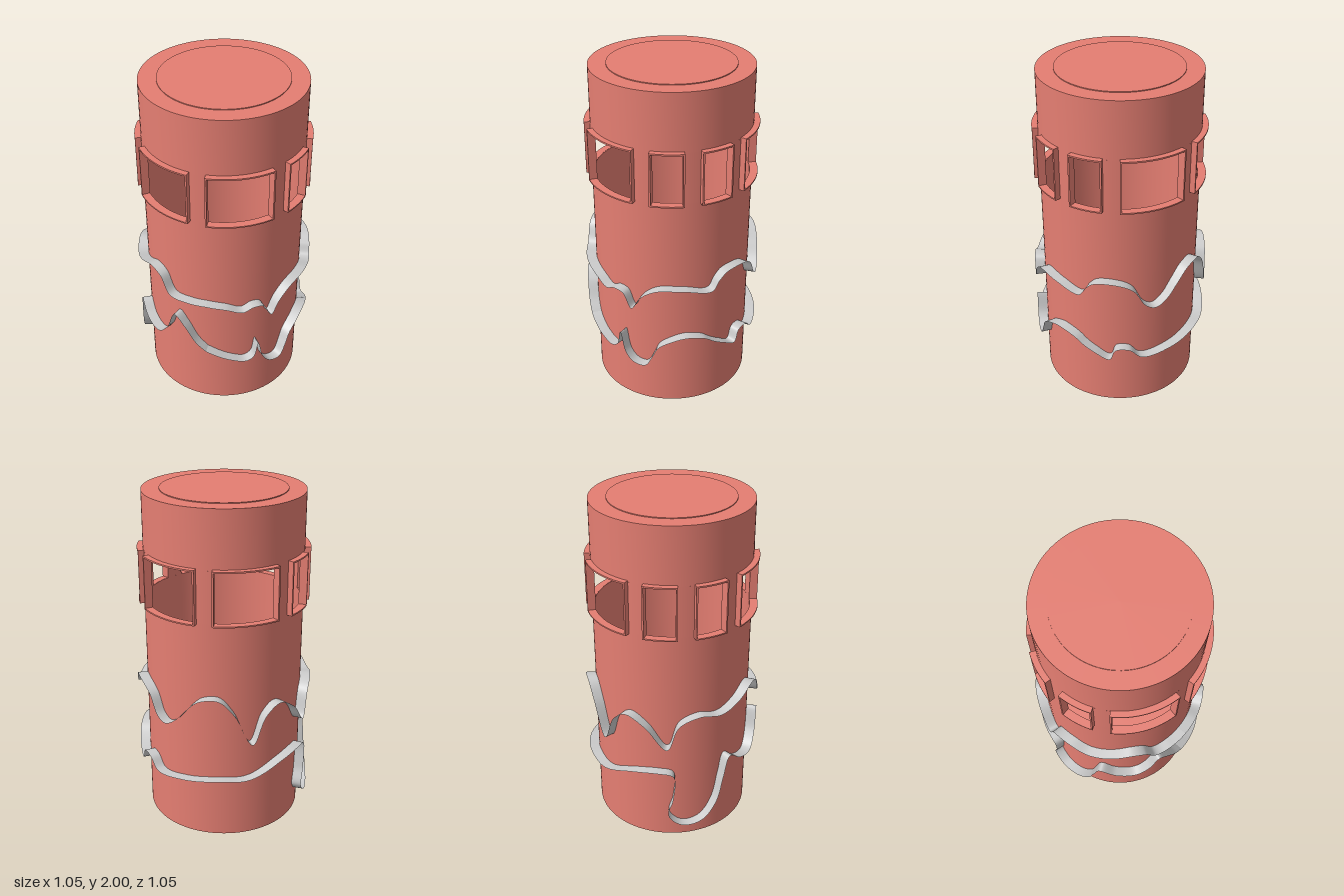
import * as THREE from 'three';
import { toCreasedNormals } from 'three/addons/utils/BufferGeometryUtils.js';

const R = 0.463, INNER = 0.45;            // outer and inner wall radius
const WIN_LOW = 1.36, WIN_HIGH = 1.66;    // window band
const red = new THREE.MeshStandardMaterial({ color: 0xe57e72 });
const grey = new THREE.MeshStandardMaterial({ color: 0xcccccc, side: THREE.DoubleSide });
const rad = THREE.MathUtils.degToRad;

function add(parent, name, geometry, material = red) {
  const mesh = new THREE.Mesh(geometry, material);
  mesh.name = name;
  parent.add(mesh);
  return mesh;
}

function lathe(points) {
  const profile = points.map(([r, y]) => new THREE.Vector2(r, y));
  return toCreasedNormals(new THREE.LatheGeometry(profile, 96), 0.6);
}

// Solid sector of a ring between two radii, two angles (degrees) and two heights
function ringBlock(r0, r1, a0, a1, y0, y1) {
  const shape = new THREE.Shape();
  shape.absarc(0, 0, r1, rad(a0), rad(a1), false);
  shape.absarc(0, 0, r0, rad(a1), rad(a0), true);
  const geo = new THREE.ExtrudeGeometry(shape, { depth: y1 - y0, bevelEnabled: false, curveSegments: 14 });
  geo.rotateX(-Math.PI / 2).translate(0, y0, 0);
  return toCreasedNormals(geo, 0.6);
}

// Thin radial ribbon around the body, following [angle, height] points (angle 0 = front, 90 = +x)
function ribbon(points) {
  const n = points.length;
  const at = (i) => {
    const turn = Math.floor(i / n), [a, y] = points[i - turn * n];
    return new THREE.Vector3(rad(a + 360 * turn) * 0.5, y, 0);
  };
  const path = [];
  for (let i = 0; i <= n; i++) path.push(at(i));
  const curve = new THREE.CatmullRomCurve3(path, false, 'centripetal');
  const steps = 320, pos = [], index = [];
  for (let i = 0; i <= steps; i++) {
    const p = curve.getPoint(i / steps), a = p.x * 2;
    for (const r of [0.455, 0.523]) pos.push(r * Math.sin(a), p.y, r * Math.cos(a));
    if (i < steps) {
      const k = i * 2;
      index.push(k, k + 1, k + 2, k + 1, k + 3, k + 2);
    }
  }
  const geo = new THREE.BufferGeometry();
  geo.setAttribute('position', new THREE.Float32BufferAttribute(pos, 3));
  geo.setIndex(index);
  geo.computeVertexNormals();
  return geo;
}

export function createModel() {
  const model = new THREE.Group();
  model.name = 'windowedCylinder';

  // Hollow lower body with closed floor
  add(model, 'lowerBody', lathe([
    [0, 0], [R, 0], [R, WIN_LOW], [INNER, WIN_LOW], [INNER, 0.03], [0, 0.03],
  ]));

  // Hollow cap, its raised top disc and the cone hanging inside
  add(model, 'cap', lathe([
    [0, 1.97], [INNER, 1.97], [INNER, WIN_HIGH], [R, WIN_HIGH], [R, 1.995], [0, 1.995],
  ]));
  const disc = add(model, 'topDisc', new THREE.CylinderGeometry(0.362, 0.362, 0.01, 96));
  disc.position.y = 1.995;
  const cone = add(model, 'innerCone', new THREE.CylinderGeometry(0.125, 0.047, 0.16, 48));
  cone.position.y = 1.895;

  // Posts and raised window frames; the half-turn pattern repeats twice
  const windows = new THREE.Group();
  windows.name = 'windowBand';
  model.add(windows);
  const lip = 0.497, t = 0.008, ta = 1.1, gap = 11.25;
  for (const turn of [0, 180]) {
    for (const [start, width] of [[0, 22.5], [33.75, 45], [90, 45], [146.25, 22.5]]) {
      const a = start + turn, b = a + width;
      add(windows, 'post', ringBlock(INNER, R, b - ta / 2, b + gap + ta / 2, WIN_LOW, WIN_HIGH));
      const frame = new THREE.Group();
      frame.name = 'windowFrame';
      windows.add(frame);
      add(frame, 'frameSide', ringBlock(INNER, lip, a, a + ta, WIN_LOW, WIN_HIGH));
      add(frame, 'frameSide', ringBlock(INNER, lip, b - ta, b, WIN_LOW, WIN_HIGH));
      add(frame, 'frameSill', ringBlock(INNER + 0.002, lip, a, b, WIN_LOW - t + 0.001, WIN_LOW + 0.001));
      add(frame, 'frameHead', ringBlock(INNER + 0.002, lip, a, b, WIN_HIGH - 0.001, WIN_HIGH + t));
    }
  }

  // Wavy ribbons round the body
  add(model, 'upperRibbon', ribbon([
    [0, 0.8], [13, 0.785], [24, 0.755], [31, 0.78], [38, 0.77], [44, 0.68], [49, 0.75], [55, 0.8],
    [63, 0.83], [80, 0.825], [97, 0.8], [102, 0.86], [108, 0.9], [122, 0.9], [132, 0.86], [140, 0.75],
    [147, 0.72], [155, 0.76], [163, 0.84], [172, 0.91], [184, 0.92], [194, 0.83], [206, 0.63], [215, 0.8],
    [225, 0.86], [238, 0.8], [252, 0.66], [260, 0.82], [273, 0.87], [288, 0.85], [303, 0.89], [318, 0.945],
    [327, 0.92], [335, 0.81], [348, 0.8],
  ]), grey);
  add(model, 'lowerRibbon', ribbon([
    [0, 0.44], [5, 0.42], [16, 0.38], [27, 0.355], [32, 0.38], [35, 0.48], [39, 0.35], [45, 0.295],
    [53, 0.29], [58, 0.36], [62, 0.43], [70, 0.475], [80, 0.5], [92, 0.48], [99, 0.44], [107, 0.4],
    [117, 0.36], [121, 0.43], [130, 0.43], [138, 0.37], [159, 0.38], [184, 0.4], [204, 0.4], [228, 0.47],
    [246, 0.49], [256, 0.47], [256, 0.3], [253, 0.18], [262, 0.11], [276, 0.13], [286, 0.24], [291, 0.4],
    [296, 0.53], [307, 0.47], [322, 0.45], [331, 0.53], [338, 0.67], [345, 0.61], [353, 0.5],
  ]), grey);

  return model;
}
